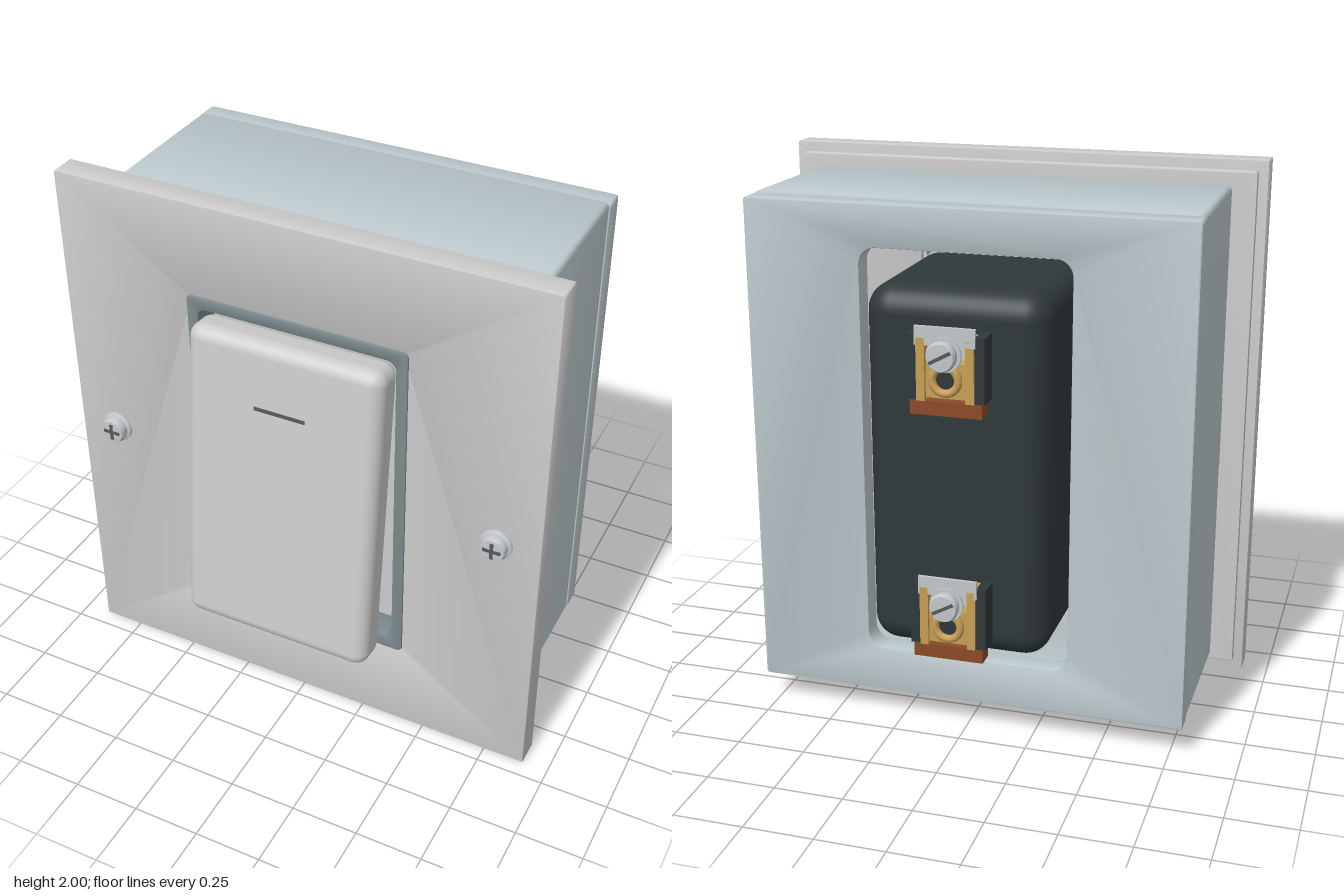
import * as THREE from 'three';
import { toCreasedNormals } from 'three/addons/utils/BufferGeometryUtils.js';
import { RoundedBoxGeometry } from 'three/addons/geometries/RoundedBoxGeometry.js';

const mat = (color) => new THREE.MeshStandardMaterial({ color });
const grey = mat(0xcccccc), steel = mat(0xbcc8cc), frameGrey = mat(0x7c898c);
const black = mat(0x2f383a), brass = mat(0xc79f55), copper = mat(0x8c4a28);
const metal = mat(0xc4c8ca), dark = mat(0x55595a);

function add(parent, name, geometry, material, x = 0, y = 0, z = 0) {
  const mesh = new THREE.Mesh(geometry, material);
  mesh.name = name;
  mesh.position.set(x, y, z);
  parent.add(mesh);
  return mesh;
}

// Box given by its extents
function block(parent, name, material, x0, x1, y0, y1, z0, z1) {
  return add(parent, name, new THREE.BoxGeometry(x1 - x0, y1 - y0, z1 - z0), material,
    (x0 + x1) / 2, (y0 + y1) / 2, (z0 + z1) / 2);
}

// Rounded rectangle outline
function rect(path, hw, y0, y1, r) {
  path.moveTo(-hw + r, y0);
  path.lineTo(hw - r, y0);
  path.absarc(hw - r, y0 + r, r, -Math.PI / 2, 0);
  path.absarc(hw - r, y1 - r, r, 0, Math.PI / 2);
  path.absarc(-hw + r, y1 - r, r, Math.PI / 2, Math.PI);
  path.absarc(-hw + r, y0 + r, r, Math.PI, Math.PI * 1.5);
  return path;
}

// Bevelled slab between two depths, with an optional window; outlines are [halfWidth, y0, y1, radius]
function slab(parent, name, material, outer, inner, z0, z1, bevel) {
  const shape = rect(new THREE.Shape(), ...outer);
  if (inner) shape.holes.push(rect(new THREE.Path(), ...inner));
  const geometry = new THREE.ExtrudeGeometry(shape, {
    depth: z1 - z0 - 2 * bevel, bevelEnabled: true, bevelSize: bevel, bevelThickness: bevel,
    bevelOffset: -bevel, bevelSegments: 2, curveSegments: 6,
  });
  return add(parent, name, toCreasedNormals(geometry, 0.6), material, 0, 0, z0 + bevel);
}

// Lathe turned so that its axis runs along +z
function turned(points, segments = 32) {
  const profile = points.map(([r, z]) => new THREE.Vector2(r, z));
  return toCreasedNormals(new THREE.LatheGeometry(profile, segments).rotateX(Math.PI / 2), 0.6);
}

// Pan-head screw with a cross recess, washer and shaft; head faces +z
function coverScrew() {
  const g = new THREE.Group();
  g.name = 'coverScrew';
  add(g, 'washer', turned([[0, 0.006], [0.058, 0.006], [0.058, 0.014], [0.048, 0.02], [0, 0.02]]), metal);
  add(g, 'screwHead', turned([[0, 0.015], [0.047, 0.015], [0.049, 0.036], [0.043, 0.049], [0, 0.053]]), metal);
  add(g, 'screwShaft', turned([[0, -0.3], [0.024, -0.29], [0.024, 0.016], [0, 0.016]]), metal);
  block(g, 'crossRecess', dark, -0.032, 0.032, -0.006, 0.006, 0.045, 0.054);
  block(g, 'crossRecess', dark, -0.006, 0.006, -0.032, 0.032, 0.045, 0.054);
  return g;
}

// Wire terminal; local y = 0 is the bottom of its black block
function terminal() {
  const g = new THREE.Group();
  g.name = 'terminal';
  for (const s of [-1, 1]) {
    const side = (name, m, a, b, ...rest) => block(g, name, m, Math.min(s * a, s * b), Math.max(s * a, s * b), ...rest);
    side('blackCheek', black, 0.1, 0.135, 0, 0.225, -0.605, -0.51);
    side('brassCheek', brass, 0.07, 0.1, 0, 0.215, -0.612, -0.51);
  }
  block(g, 'innerPlate', metal, -0.07, 0.07, 0, 0.21, -0.545, -0.51);
  block(g, 'brassClamp', brass, -0.07, 0.07, 0.01, 0.13, -0.6, -0.545);
  block(g, 'copperFoot', copper, -0.125, 0.125, -0.05, 0, -0.605, -0.54);
  block(g, 'labelPlate', metal, -0.105, 0.105, 0.19, 0.255, -0.612, -0.6);
  add(g, 'wireRing', new THREE.TorusGeometry(0.045, 0.014, 10, 28), brass, 0, 0.075, -0.607);
  add(g, 'wireHole', new THREE.CircleGeometry(0.034, 24).rotateY(Math.PI), black, 0, 0.075, -0.602);

  // Threaded rod and slotted head, pointing backwards
  const thread = [[0, 0]];
  for (let i = 0; i <= 14; i++) thread.push([i % 2 ? 0.032 : 0.023, 0.008 * i]);
  thread.push([0, 0.112]);
  const screw = new THREE.Group();
  screw.name = 'terminalScrew';
  screw.position.set(0, 0.165, -0.53);
  screw.rotation.y = Math.PI;
  add(screw, 'thread', turned(thread, 20), metal);
  add(screw, 'washer', turned([[0, 0.085], [0.06, 0.085], [0.06, 0.093], [0, 0.093]]), metal);
  add(screw, 'head', turned([[0, 0.1], [0.05, 0.1], [0.052, 0.122], [0.046, 0.133], [0, 0.135]]), metal);
  block(screw, 'slot', dark, -0.042, 0.042, -0.006, 0.006, 0.125, 0.136).rotation.z = 0.5;
  g.add(screw);
  return g;
}

export function createModel() {
  const model = new THREE.Group();
  model.name = 'wallSwitch';

  // Cover plate with its rear step and the window frame
  const windowHole = [0.395, 0.37, 1.64, 0.015];
  slab(model, 'coverPlate', grey, [0.905, 0, 2, 0.006], windowHole, 0.34, 0.44, 0.005);
  slab(model, 'plateStep', grey, [0.87, 0.04, 1.965, 0.012], windowHole, 0.305, 0.341, 0.006);
  slab(model, 'windowFrame', frameGrey, [0.41, 0.355, 1.655, 0.02], [0.368, 0.41, 1.61, 0.035], 0.31, 0.447, 0.004);
  block(model, 'windowFloor', grey, -0.39, 0.39, 0.37, 1.64, 0.31, 0.345);

  // Tilted rocker with its marker line
  const rocker = new THREE.Group();
  rocker.name = 'rocker';
  rocker.position.set(0, 1.01, 0.53);
  rocker.rotation.x = -0.113;
  add(rocker, 'rockerBody', new RoundedBoxGeometry(0.725, 1.18, 0.148, 5, 0.05), grey);
  block(rocker, 'markerLine', dark, -0.095, 0.095, 0.34, 0.353, 0.07, 0.0765);
  model.add(rocker);

  // Back box: walls, back panel with window, screw lugs
  slab(model, 'boxWalls', steel, [0.79, 0.09, 1.92, 0.02], [0.75, 0.13, 1.88, 0.02], -0.32, 0.25, 0.008);
  slab(model, 'boxBack', steel, [0.795, 0.1, 1.912, 0.012], [0.375, 0.27, 1.76, 0.06], -0.4, -0.315, 0.006);
  for (const s of [-1, 1]) {
    add(model, 'screwLug', new RoundedBoxGeometry(0.175, 0.3, 0.05, 3, 0.02), steel, s * 0.702, 1, 0.25);
    const screw = coverScrew();
    screw.position.set(s * 0.747, 1, 0.44);
    model.add(screw);
  }

  // Switch body and the contact parts joining it to the plate
  add(model, 'switchBody', new RoundedBoxGeometry(0.65, 1.31, 0.66, 6, 0.095), black, 0, 1.005, -0.19);
  block(model, 'upperContact', brass, -0.215, 0.215, 1.3, 1.4, 0.1, 0.308);
  block(model, 'lowerContact', brass, -0.31, 0.31, 0.59, 0.84, 0.1, 0.308);
  block(model, 'sideContact', brass, -0.31, 0.31, 1.0, 1.03, 0.1, 0.308);
  block(model, 'contactCarrier', black, -0.085, 0.085, 1.03, 1.405, 0.1, 0.308);

  // Rear terminals
  for (const y of [1.305, 0.418]) {
    const t = terminal();
    t.position.y = y;
    model.add(t);
  }

  return model;
}
